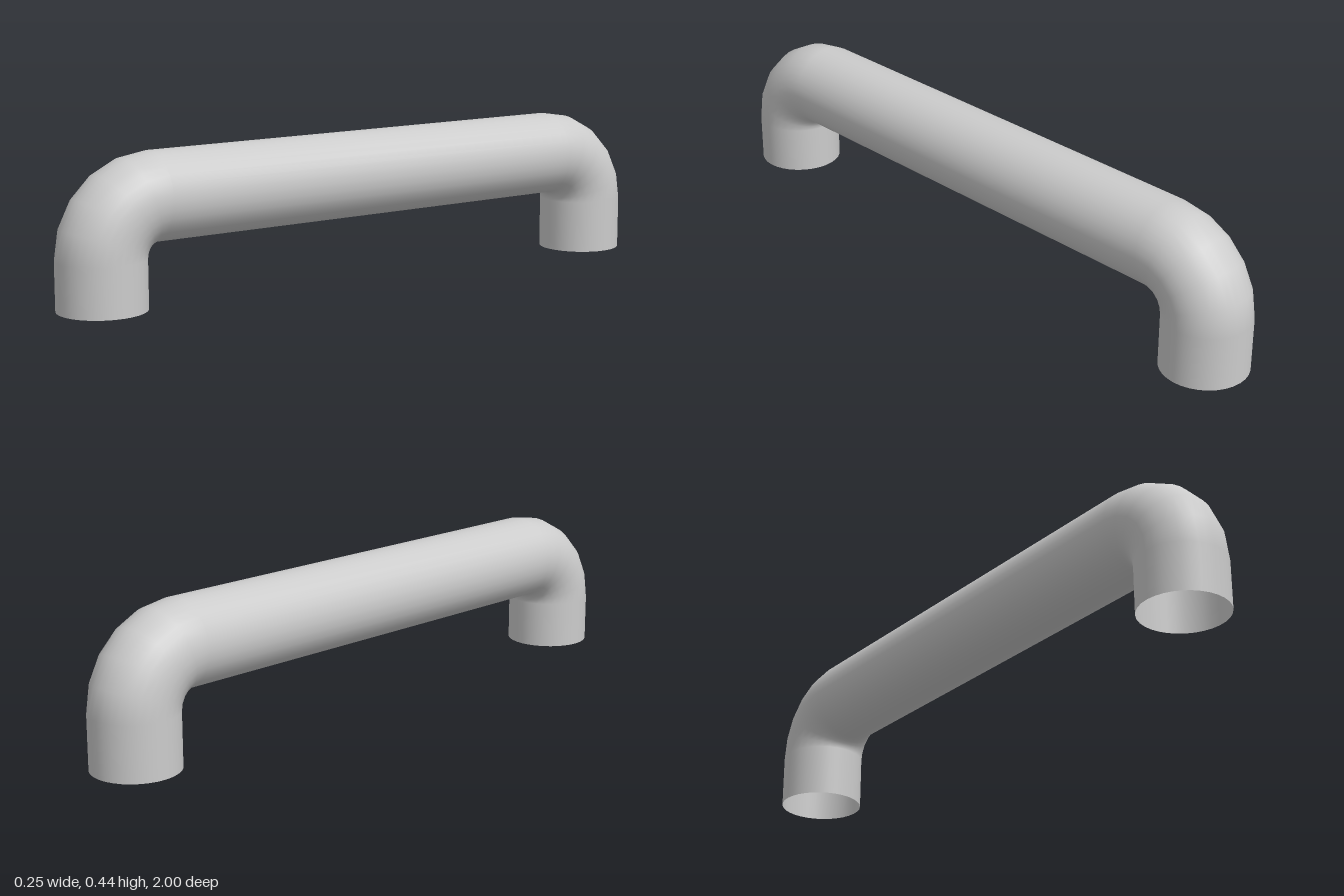
import * as THREE from 'three';

const R = 0.127;      // tube radius
const BEND = 0.158;   // centre-line bend radius
const LEG_Z = 0.873;  // leg axis distance from the centre
const BAR_Y = 0.318;  // height of the bar axis
const SIDES = 32, STEPS = 5;

// Stations along the centre line: height, depth and the angle of the outward direction
function handlePath() {
  const path = [{ y: 0.018, z: LEG_Z, t: 0 }];
  for (const end of [1, -1]) {
    for (let i = 0; i <= STEPS; i++) {
      const t = (Math.PI / 2) * (i / STEPS + (end < 0 ? 1 : 0));
      path.push({
        y: BAR_Y - BEND + BEND * Math.sin(t),
        z: end * (LEG_Z - BEND) + BEND * Math.cos(t),
        t,
      });
    }
  }
  path.push({ y: 0, z: -LEG_Z, t: Math.PI });
  return path;
}

// Sweeps a circle along the stations, with open ends
function sweep(path) {
  const pos = [], nor = [], idx = [];
  path.forEach(({ y, z, t }, i) => {
    for (let j = 0; j <= SIDES; j++) {
      const a = (j / SIDES) * Math.PI * 2;
      const nx = Math.cos(a), ny = Math.sin(a) * Math.sin(t), nz = Math.sin(a) * Math.cos(t);
      pos.push(R * nx, y + R * ny, z + R * nz);
      nor.push(nx, ny, nz);
      if (i < path.length - 1 && j < SIDES) {
        const p = i * (SIDES + 1) + j, q = p + SIDES + 1;
        idx.push(p, q, p + 1, q, q + 1, p + 1);
      }
    }
  });
  const g = new THREE.BufferGeometry();
  g.setAttribute('position', new THREE.Float32BufferAttribute(pos, 3));
  g.setAttribute('normal', new THREE.Float32BufferAttribute(nor, 3));
  g.setIndex(idx);
  return g;
}

export function createModel() {
  const group = new THREE.Group();
  group.name = 'pullHandle';
  const material = new THREE.MeshStandardMaterial({ color: 0xcccccc, side: THREE.DoubleSide });
  const tube = new THREE.Mesh(sweep(handlePath()), material);
  tube.name = 'handleTube';
  group.add(tube);
  return group;
}
